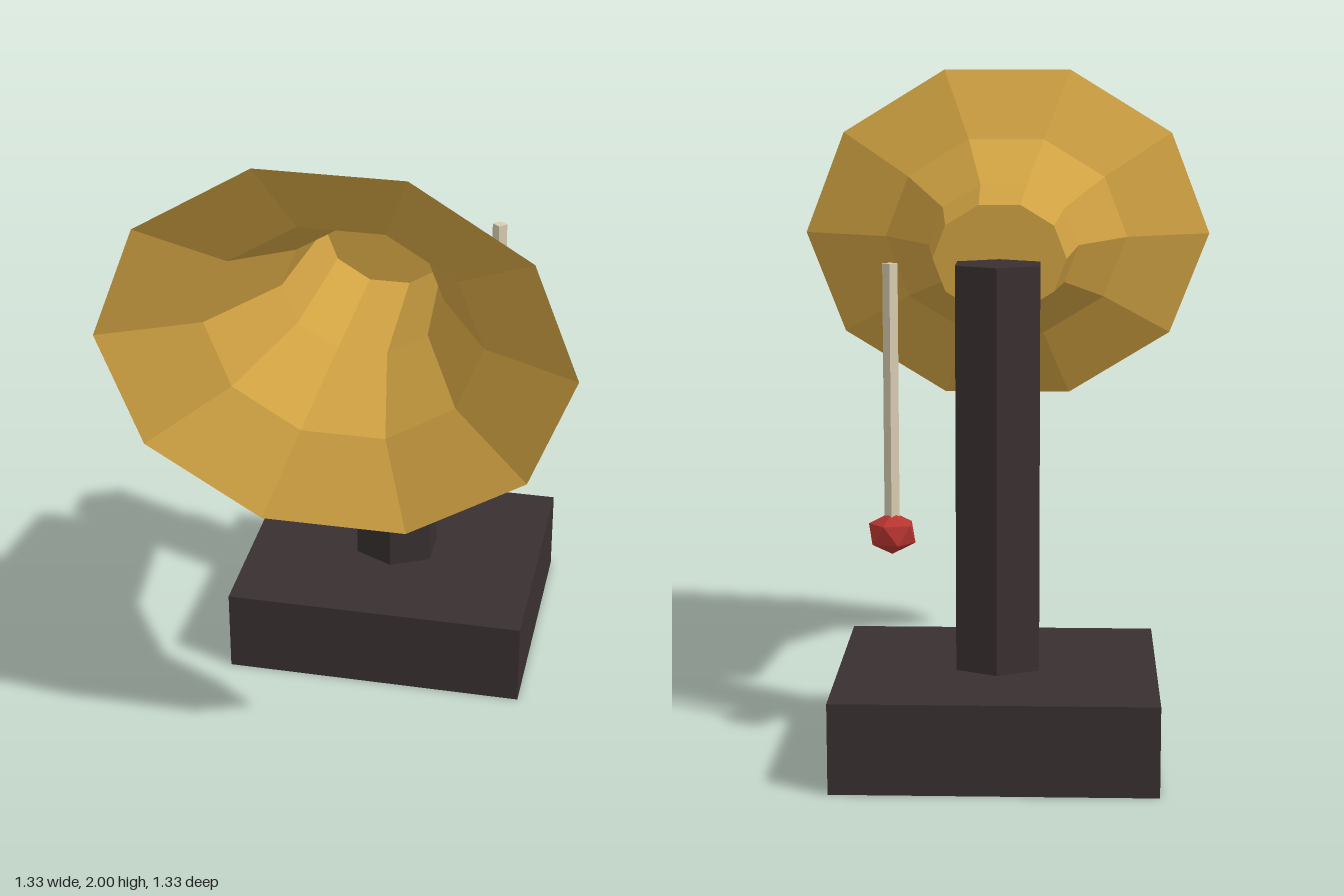
import * as THREE from 'three';
import { ConvexGeometry } from 'three/addons/geometries/ConvexGeometry.js';

const gold = new THREE.MeshStandardMaterial({ color: 0xcfa142, flatShading: true, side: THREE.DoubleSide });
gold.name = 'gold';
const dark = new THREE.MeshStandardMaterial({ color: 0x393031, flatShading: true });
dark.name = 'dark brown';
const cream = new THREE.MeshStandardMaterial({ color: 0xd8ccb0, flatShading: true });
cream.name = 'cream';
const red = new THREE.MeshStandardMaterial({ color: 0xb83530, flatShading: true });
red.name = 'red';

const AXIS_Y = 1.467; // height of the horn's axis and of the post top
const POST_Z = -0.267;
const CORD_X = 0.313;
const WIDEN = 1.17; // parts are slightly stretched across x

export function createModel() {
  const model = new THREE.Group();
  model.name = 'hornOnStand';

  const add = (name, geometry, material, x, y, z) => {
    const mesh = new THREE.Mesh(geometry, material);
    mesh.name = name;
    mesh.position.set(x, y, z);
    model.add(mesh);
    return mesh;
  };

  // Block base
  add('base', new THREE.BoxGeometry(0.94, 0.267, 0.8), dark, 0, 0.1335, POST_Z);

  // Hexagonal post
  const postHeight = AXIS_Y - 0.267;
  const post = new THREE.CylinderGeometry(0.12, 0.12, postHeight, 6).scale(WIDEN, 1, 1);
  add('post', post, dark, 0, 0.267 + postHeight / 2, POST_Z);

  // Ten-sided flared horn: closed at the back, open at the front
  const profile = [[0, -0.133], [0.198, -0.133], [0.235, 0.267], [0.393, 0.533], [0.667, 0.667]]
    .map(([r, z]) => new THREE.Vector2(r, z));
  const horn = new THREE.LatheGeometry(profile, 10, Math.PI / 2)
    .rotateX(Math.PI / 2)
    .scale(1, 0.8 / Math.sin(Math.PI * 0.4), 1);
  add('horn', horn, gold, 0, AXIS_Y, 0);

  // Thin four-sided cord
  const cord = new THREE.CylinderGeometry(0.019, 0.019, 0.8, 4).scale(WIDEN, 1, 1);
  add('cord', cord, cream, CORD_X, AXIS_Y - 0.4, POST_Z);

  // Faceted ball: two poles and two staggered rings of five
  const points = [new THREE.Vector3(0, 1, 0), new THREE.Vector3(0, -1, 0)];
  for (let i = 0; i < 10; i++) {
    const a = (i * Math.PI) / 5;
    const y = i % 2 ? -0.447 : 0.447;
    points.push(new THREE.Vector3(0.894 * Math.cos(a), y, 0.894 * Math.sin(a)));
  }
  const ball = new ConvexGeometry(points).scale(0.077, 0.064, 0.065);
  add('ball', ball, red, CORD_X, 0.667, POST_Z);

  return model;
}
